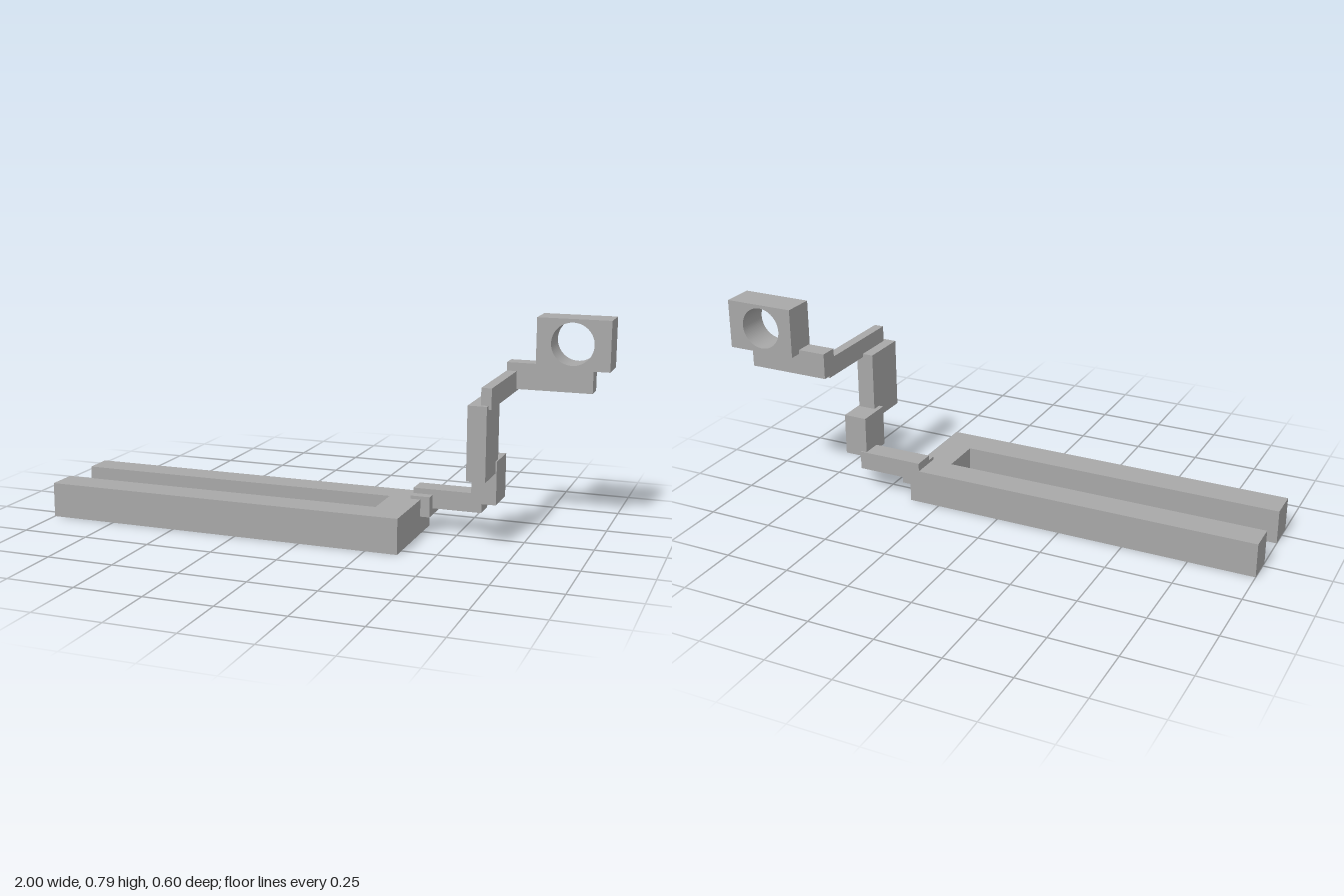
import * as THREE from 'three';

export function createModel() {
  const model = new THREE.Group();
  const grey = new THREE.MeshStandardMaterial({ color: 0xa8a8a8 });
  grey.name = 'grey';

  const add = (name, geometry) => {
    const mesh = new THREE.Mesh(geometry, grey);
    mesh.name = name;
    model.add(mesh);
    return mesh;
  };

  // Box given by its extents along each axis
  const block = (name, [x0, x1], [y0, y1], [z0, z1]) =>
    add(name, new THREE.BoxGeometry(x1 - x0, y1 - y0, z1 - z0))
      .position.set((x0 + x1) / 2, (y0 + y1) / 2, (z0 + z1) / 2);

  // Two-pronged base, outlined in (x, -z) and raised along y
  const outline = [
    [-1, -0.3], [0.37, -0.3], [0.37, 0.088], [-1, 0.088],
    [-1, -0.022], [0.25, -0.022], [0.25, -0.182], [-1, -0.182],
  ].map(([x, y]) => new THREE.Vector2(x, y));
  const fork = new THREE.ExtrudeGeometry(new THREE.Shape(outline), { depth: 0.13, bevelEnabled: false });
  fork.rotateX(-Math.PI / 2);
  add('forkBase', fork);

  // Chain of links climbing from the base to the ring holder
  block('baseConnector', [0.332, 0.405], [0.066, 0.142], [-0.084, 0.031]);
  block('lowerLink', [0.332, 0.588], [0.091, 0.162], [-0.088, -0.007]);
  block('lowerRiser', [0.565, 0.656], [0.142, 0.302], [-0.082, 0.054]);
  block('upperRiser', [0.583, 0.651], [0.258, 0.525], [0.018, 0.196]);
  block('crossArm', [0.625, 0.662], [0.512, 0.586], [-0.219, 0.177]);
  block('holderBracket', [0.625, 0.94], [0.52, 0.617], [-0.253, -0.185]);

  // Square holder with a round through-hole
  const face = new THREE.Shape([
    [0.732, 0.602], [1, 0.602], [1, 0.787], [0.732, 0.787],
  ].map(([x, y]) => new THREE.Vector2(x, y)));
  face.holes.push(new THREE.Path().absarc(0.863, 0.696, 0.078, 0, Math.PI * 2, true));
  const holder = new THREE.ExtrudeGeometry(face, { depth: 0.12, bevelEnabled: false, curveSegments: 48 });
  holder.translate(0, 0, -0.3);
  add('ringHolder', holder);

  return model;
}
